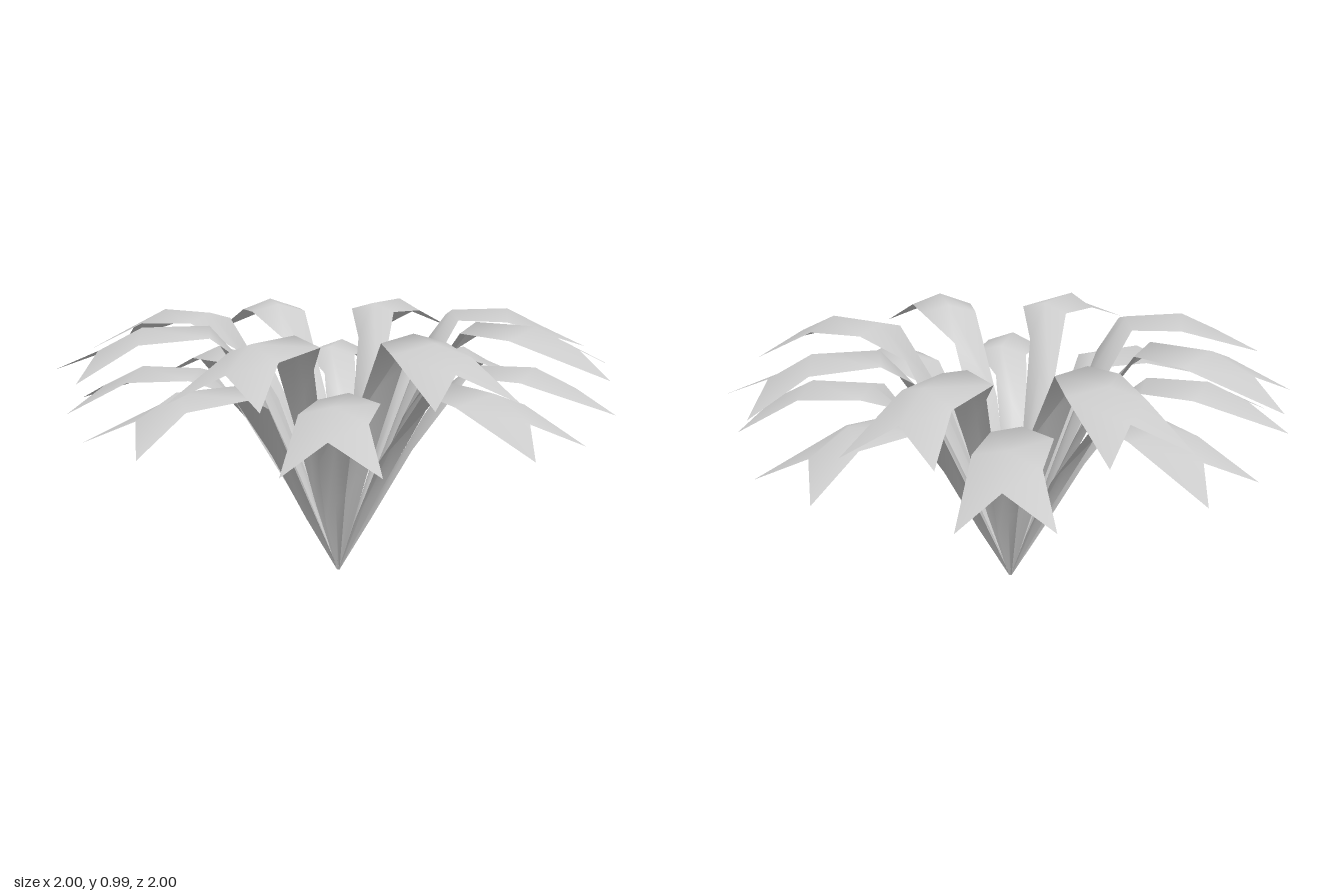
import * as THREE from 'three';

// One leaf, row by row: right edge, ridge and left edge as
// [outward, sideways, height relative to the ridge]
const ROWS = [
  [[0.004, -0.004, 0], [0, 0, 0], [0.004, 0.004, 0]],
  [[0.20, -0.012, 0.045], [0.155, 0.02, 0], [0.125, 0.055, -0.085]],
  [[0.40, -0.03, 0.09], [0.32, 0.03, 0], [0.27, 0.09, -0.12]],
  [[0.55, -0.10, -0.03], [0.51, 0, 0], [0.47, 0.10, -0.03]],
  [[0.78, -0.04, -0.045], [0.73, 0.065, 0], [0.65, 0.17, -0.04]],
  [[1.0, -0.06, -0.08], [0.88, 0.09, 0], [0.99, 0.235, -0.075]], // forked tip with a notch
];

// Creased leaf, lofted through its rows at the given ridge heights
function leafGeometry(heights) {
  const positions = [], index = [];
  ROWS.forEach((row, i) => row.forEach(([u, v, dy]) => positions.push(u, heights[i] + dy, v)));
  for (let i = 0; i < ROWS.length - 1; i++) {
    for (let j = 0; j < 2; j++) {
      const a = i * 3 + j, b = a + 1, c = a + 3, d = a + 4;
      // split each side so the diagonals mirror about the ridge
      if (j === 0) index.push(a, b, d, a, d, c);
      else index.push(a, b, c, b, d, c);
    }
  }
  const geometry = new THREE.BufferGeometry();
  geometry.setAttribute('position', new THREE.Float32BufferAttribute(positions, 3));
  geometry.setIndex(index);
  geometry.computeVertexNormals();
  return geometry;
}

export function createModel() {
  const model = new THREE.Group();
  model.name = 'plant';
  const material = new THREE.MeshStandardMaterial({ color: 0xcccccc, side: THREE.DoubleSide });

  // Two rings of eight arching leaves, the taller one turned by 20 degrees
  const tiers = [
    { name: 'lowerLeaf', turn: 0, heights: [0.015, 0.33, 0.635, 0.82, 0.82, 0.745] },
    { name: 'upperLeaf', turn: 20, heights: [0.015, 0.41, 0.785, 1.005, 1.005, 0.932] },
  ];
  for (const { name, turn, heights } of tiers) {
    const ring = new THREE.Group();
    ring.name = name + 'Ring';
    const geometry = leafGeometry(heights);
    for (let k = 0; k < 8; k++) {
      const leaf = new THREE.Mesh(geometry, material);
      leaf.name = name;
      leaf.rotation.y = -THREE.MathUtils.degToRad(turn + k * 45);
      ring.add(leaf);
    }
    model.add(ring);
  }
  return model;
}
